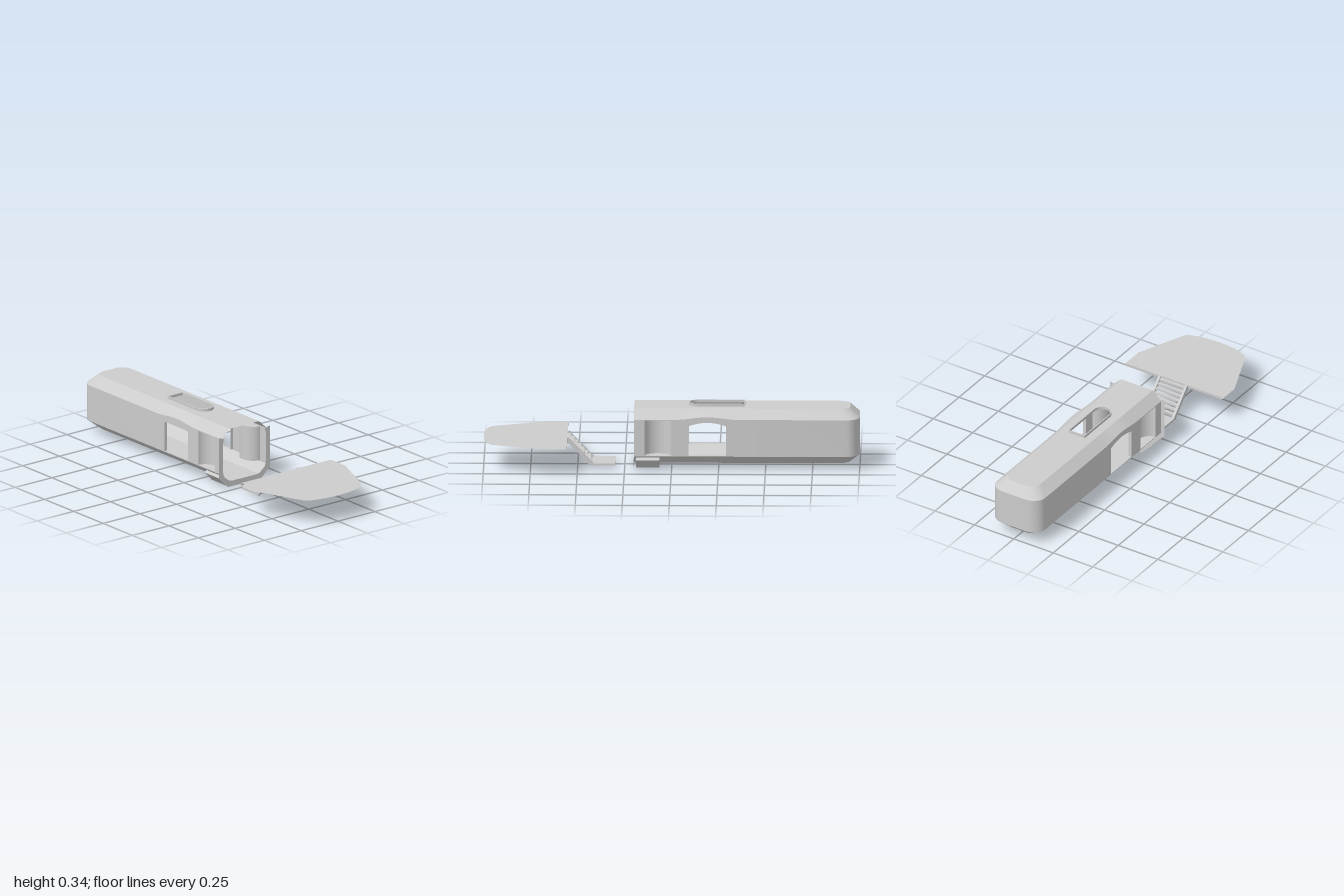
import * as THREE from 'three';
import { mergeVertices, toCreasedNormals } from 'three/addons/utils/BufferGeometryUtils.js';

const W = 0.153, FRONT = 0.2, LOW = 0.075, ROOF = 0.325, FLOOR = 0.03, SPLIT = 12;

// Surface between two point rows of equal length
function ribbon(a, b) {
  const pos = [], index = [];
  a.forEach((p, i) => pos.push(...p, ...b[i]));
  for (let i = 0; i < a.length - 1; i++) {
    const k = i * 2;
    index.push(k, k + 1, k + 2, k + 1, k + 3, k + 2);
  }
  const g = new THREE.BufferGeometry();
  g.setAttribute('position', new THREE.Float32BufferAttribute(pos, 3));
  g.setIndex(index);
  return toCreasedNormals(mergeVertices(g), 0.6);
}

const makeShape = (pts) => new THREE.Shape(pts.map((p) => new THREE.Vector2(p[0], p[1])));

// Side edge height, arching over the doorway
function eave(z) {
  const t = (z + 0.19) / 0.17;
  return 0.275 + (Math.abs(t) < 1 ? 0.014 * Math.cos(t * Math.PI / 2) ** 2 : 0);
}

// Plan outline of the hull: side, rounded rear, other side
function outline(w, end, height) {
  const half = [[w, FRONT]];
  for (let i = 0; i < SPLIT; i++) half.push([w, -0.02 - 0.34 * i / (SPLIT - 1)]);
  for (let i = 0; i <= 8; i++) {
    const a = i / 8 * Math.PI / 2;
    half.push([w * (0.45 + 0.55 * Math.cos(a)), end + 0.07 * (1 - Math.sin(a))]);
  }
  const all = half.concat(half.slice().reverse().map(([x, z]) => [-x, z]));
  return all.map(([x, z]) => [x, height(z), z]);
}

export function createModel() {
  const model = new THREE.Group();
  const grey = new THREE.MeshStandardMaterial({ color: 0xcccccc, side: THREE.DoubleSide });
  grey.name = 'lightGrey';
  const add = (name, geometry) => {
    const m = new THREE.Mesh(geometry, grey);
    m.name = name;
    model.add(m);
    return m;
  };
  const flat = (shape, y, up) => {
    const g = new THREE.ShapeGeometry(shape, 10).rotateX(Math.PI / 2);
    if (up) { // reverse the corner order so the face looks upward
      const ix = g.index;
      for (let i = 0; i < ix.count; i += 3) {
        const t = ix.getX(i);
        ix.setX(i, ix.getX(i + 1));
        ix.setX(i + 1, t);
      }
      g.computeVertexNormals();
    }
    return g.translate(0, y, 0);
  };

  // Hull shell rings, from floor to roof
  const floorRing = outline(0.1, -0.948, () => FLOOR);
  const lowRing = outline(W, -1, () => LOW);
  const highRing = outline(W, -1, eave);
  const roofRing = outline(0.1, -0.95, () => ROOF);
  const rear = (r) => r.slice(SPLIT, r.length - SPLIT);
  const plan = (r) => makeShape(r.map((p) => [p[0], p[2]]));
  add('lowerBevel', ribbon(floorRing, lowRing));
  add('rearWall', ribbon(rear(lowRing), rear(highRing)));
  add('upperBevel', ribbon(highRing, roofRing));
  add('hullFloor', flat(plan(floorRing), FLOOR, false));

  // Roof with a raised hatch, round at its front end
  const hatchRow = (r, y) => {
    const row = [[-r, y, -0.39 + 0.052 - r]];
    for (let i = 0; i <= 14; i++) {
      const a = i / 14 * Math.PI;
      row.push([-r * Math.cos(a), y, -0.142 + r * Math.sin(a)]);
    }
    row.push([r, y, -0.39 + 0.052 - r], row[0]);
    return row;
  };
  const roof = plan(roofRing);
  roof.holes.push(plan(hatchRow(0.052, 0).slice(0, -1)));
  add('roof', flat(roof, ROOF, true));
  add('hatchOuterRim', ribbon(hatchRow(0.052, ROOF), hatchRow(0.052, 0.34)));
  add('hatchTopRim', ribbon(hatchRow(0.052, 0.34), hatchRow(0.047, 0.34)));
  add('hatchInnerRim', ribbon(hatchRow(0.047, 0.34), hatchRow(0.047, ROOF)));

  // Side panels with doorway and front alcove
  const door = [[-0.29, 0.079]];
  for (let i = 0; i <= 10; i++) {
    const t = i / 5 - 1;
    door.push([-0.19 + 0.1 * t, 0.24 + 0.019 * (1 - t * t)]);
  }
  door.push([-0.09, 0.079]);
  const alcove = [[0, 0.079], [0, 0.27], [0.143, 0.27], [0.143, 0.079]];
  const edge = highRing.slice(0, SPLIT + 1).map((p) => [p[2], p[1]]);
  const panel = makeShape([[FRONT, LOW], ...edge, [-0.36, LOW]]);
  panel.holes.push(makeShape(door), makeShape(alcove));
  const jamb = [...door, door[0]];

  for (const s of [1, -1]) {
    add('sidePanel', new THREE.ShapeGeometry(panel).rotateY(-Math.PI / 2).translate(s * W, 0, 0));
    add('doorJamb', ribbon(jamb.map(([z, y]) => [s * W, y, z]), jamb.map(([z, y]) => [s * 0.136, y, z])));
    const niche = add('alcoveWall', new THREE.CylinderGeometry(1, 1, 0.191, 20, 1, false, s > 0 ? Math.PI : 0, Math.PI));
    niche.scale.set(0.063, 1, 0.0715);
    niche.position.set(s * W, 0.1745, 0.0715);

    // Bracket under the bevel behind the front frame
    const pad = makeShape([[0.15, 0.068], [0.163, 0.056], [0.113, 0.005], [0.1, 0.03]].map(([x, y]) => [s * x, y]));
    add('lowerBracket', new THREE.ExtrudeGeometry(pad, { depth: 0.125, bevelEnabled: false }).translate(0, 0, 0.065));

    // Stair side rail
    const rail = makeShape([[0.415, 0.022], [0.43, 0.008], [0.56, 0.145], [0.56, 0.16], [0.546, 0.16]]);
    add('stairRail', new THREE.ExtrudeGeometry(rail, { depth: 0.014, bevelEnabled: false })
      .rotateY(-Math.PI / 2).translate(s * 0.085 + 0.007, 0, 0));
  }

  // U-shaped front frame
  const frame = new THREE.Shape();
  frame.moveTo(-0.113, 0);
  frame.lineTo(0.113, 0);
  frame.lineTo(0.174, 0.06);
  frame.lineTo(0.174, 0.286);
  frame.lineTo(0.155, 0.282);
  frame.lineTo(0.137, 0.272);
  frame.quadraticCurveTo(0.147, 0.26, 0.147, 0.24);
  frame.lineTo(0.147, 0.11);
  frame.quadraticCurveTo(0.147, 0.04, 0.085, 0.03);
  frame.lineTo(-0.085, 0.03);
  frame.quadraticCurveTo(-0.147, 0.04, -0.147, 0.11);
  frame.lineTo(-0.147, 0.24);
  frame.quadraticCurveTo(-0.147, 0.26, -0.137, 0.272);
  frame.lineTo(-0.155, 0.282);
  frame.lineTo(-0.174, 0.286);
  frame.lineTo(-0.174, 0.06);
  add('frontFrame', new THREE.ShapeGeometry(frame, 8).translate(0, 0, FRONT + 0.001));

  // Stairs and landing
  for (let i = 0; i < 7; i++) {
    add('stairTread', new THREE.BoxGeometry(0.158, 0.01, 0.02)
      .translate(0, 0.034 + 0.0185 * i, 0.44 + 0.0178 * i));
  }
  add('landing', new THREE.BoxGeometry(0.184, 0.012, 0.125).translate(0, 0.016, 0.3605));

  // Open-edged platform: upper skin, lower skin and rear edge
  const half = [[0.305, 0.555], [0.305, 0.68], [0.198, 0.94], [0.19, 0.958], [0.17, 0.972], [0.12, 0.987], [0.06, 0.997]];
  const deck = makeShape([...half, [0, 1], ...half.slice().reverse().map(([x, z]) => [-x, z])]);
  add('platformTop', flat(deck, 0.16, true));
  add('platformUnderside', flat(deck, 0.145, false));
  add('platformRearEdge', new THREE.PlaneGeometry(0.61, 0.015).translate(0, 0.1525, 0.555));

  return model;
}
